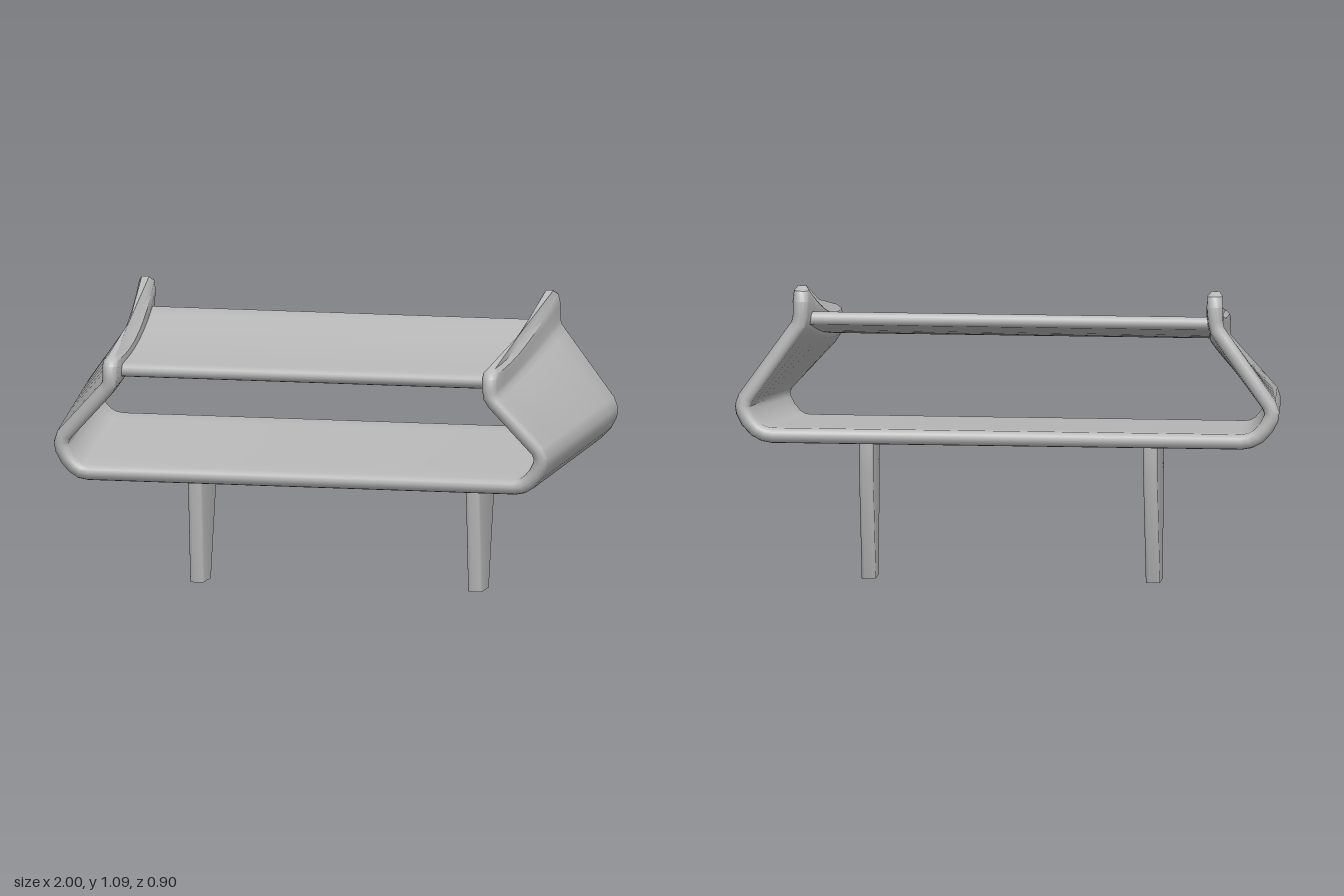
import * as THREE from 'three';
import { toCreasedNormals } from 'three/addons/utils/BufferGeometryUtils.js';

const lerp = THREE.MathUtils.lerp;

// Closed skin over rings of points, capped at both ends.
function loft(rings) {
  const n = rings[0].length, pos = [], index = [];
  rings.forEach((ring) => ring.forEach((p) => pos.push(...p)));
  for (let i = 0; i < rings.length - 1; i++) {
    for (let j = 0; j < n; j++) {
      const a = i * n + j, b = i * n + (j + 1) % n;
      index.push(a, b, a + n, b, b + n, a + n);
    }
  }
  [0, rings.length - 1].forEach((r) => {
    const centre = pos.length / 3;
    pos.push(...[0, 1, 2].map((k) => rings[r].reduce((s, p) => s + p[k], 0) / n));
    for (let j = 0; j < n; j++) {
      const a = r * n + j, b = r * n + (j + 1) % n;
      if (r) index.push(centre, a, b); else index.push(centre, b, a);
    }
  });
  const geometry = new THREE.BufferGeometry();
  geometry.setAttribute('position', new THREE.Float32BufferAttribute(pos, 3));
  geometry.setIndex(index);
  return toCreasedNormals(geometry, 0.6);
}

// Sheet running across the width, with round front and back edges.
// Row: f and b are [x, y, z] at front and back, sag bends y, bend moves x, h is half thickness.
function sheet(rows) {
  const STEPS = 8, ARC = 6;
  const mid = (r, t) => {
    const c = 4 * t * (1 - t);
    return [lerp(r.f[0], r.b[0], t) - c * r.bend, lerp(r.f[1], r.b[1], t) - c * r.sag,
      lerp(r.f[2] - r.h, r.b[2] + r.h, t)];
  };
  const rings = rows.map((r, i) => {
    const point = (t, angle) => {
      const p = mid(r, t), dir = new THREE.Vector2();
      for (const [from, to] of [[i - 1, i], [i, i + 1]]) {
        if (!rows[from] || !rows[to]) continue;
        const a = mid(rows[from], t), b = mid(rows[to], t);
        dir.add(new THREE.Vector2(b[0] - a[0], b[1] - a[1]).normalize());
      }
      dir.normalize();
      const off = r.h * Math.cos(angle);
      return [p[0] + dir.y * off, p[1] - dir.x * off, p[2] - r.h * Math.sin(angle)];
    };
    const ring = [];
    for (let k = 0; k < STEPS; k++) ring.push(point(k / STEPS, 0));
    for (let k = 0; k < ARC; k++) ring.push(point(1, Math.PI * k / ARC));
    for (let k = 0; k < STEPS; k++) ring.push(point(1 - k / STEPS, Math.PI));
    for (let k = 0; k < ARC; k++) ring.push(point(0, Math.PI * (1 + k / ARC)));
    return ring;
  });
  return loft(rings);
}

const mirrorRow = (r) => ({ ...r, f: [-r.f[0], r.f[1], r.f[2]], b: [-r.b[0], r.b[1], r.b[2]], bend: -r.bend });

// Level slice of a leg: rectangle with rounded corners.
function legRing(y, zFront, zBack) {
  const r = 0.012, half = 0.026, ring = [];
  for (let corner = 0; corner < 4; corner++) {
    const sz = corner === 0 || corner === 3 ? 1 : -1, sx = corner < 2 ? 1 : -1;
    const cz = sz > 0 ? zFront - r : zBack + r;
    for (let k = 0; k <= 3; k++) {
      const a = (corner + k / 3) * Math.PI / 2;
      ring.push([sx * (half - r) + r * Math.sin(a), y, cz + r * Math.cos(a)]);
    }
  }
  return ring;
}

export function createModel() {
  const group = new THREE.Group();
  group.name = 'wingAssembly';
  const grey = new THREE.MeshStandardMaterial({ color: 0xb8b8b8 });
  grey.name = 'plain grey';
  const add = (name, geometry) => {
    const mesh = new THREE.Mesh(geometry, grey);
    mesh.name = name;
    group.add(mesh);
    return mesh;
  };

  // Wrapped shell: floor, rounded lower corners, inward sloping sides and upright fins.
  // Each entry: front x, y, back x, y, sag, bend.
  const profile = [
    [0.80, 0.475, 0.86, 0.548, 0, 0],
    [0.828, 0.48, 0.89, 0.553, 0, 0],
    [0.853, 0.496, 0.92, 0.568, 0, 0],
    [0.878, 0.525, 0.95, 0.6, 0, 0],
    [0.895, 0.558, 0.967, 0.632, 0, 0],
    [0.9, 0.583, 0.971, 0.655, 0, 0],
    [0.89, 0.612, 0.96, 0.685, 0, 0],
    [0.73, 0.785, 0.787, 0.925, 0.02, 0.007],
    [0.715, 0.808, 0.768, 0.953, 0.023, 0.008],
    [0.712, 0.835, 0.761, 0.985, 0.027, 0.009],
  ];
  const half = profile.map(([xf, yf, xb, yb, sag, bend]) => ({
    f: [xf, yf, 0.415 + (yf - 0.45) * 0.095],
    b: [xb, yb, -0.452 + (yb - 0.52) * 0.085],
    sag, bend, h: 0.028,
  }));
  // Rounded crest of the fin
  half.push(
    { f: [0.712, 0.875, 0.445], b: [0.759, 1.04, -0.416], sag: 0.035, bend: 0.009, h: 0.03 },
    { f: [0.712, 0.895, 0.429], b: [0.758, 1.077, -0.394], sag: 0.043, bend: 0.009, h: 0.028 },
    { f: [0.712, 0.91, 0.403], b: [0.758, 1.093, -0.357], sag: 0.045, bend: 0.009, h: 0.014 },
  );
  add('shell', sheet([...half.map(mirrorRow).reverse(), ...half]));

  // Upper plate spanning between the fins
  const end = { f: [0.708, 0.849, 0.352], b: [0.752, 0.965, -0.332], sag: 0.018, bend: 0.008, h: 0.025 };
  add('upperPlate', sheet([mirrorRow(end), end]));

  // Tapered legs under the rear half
  const legGeometry = loft([legRing(0, -0.15, -0.28), legRing(0.41, -0.11, -0.382), legRing(0.525, -0.11, -0.382)]);
  add('leftLeg', legGeometry).position.x = 0.521;
  add('rightLeg', legGeometry).position.x = -0.521;

  return group;
}
